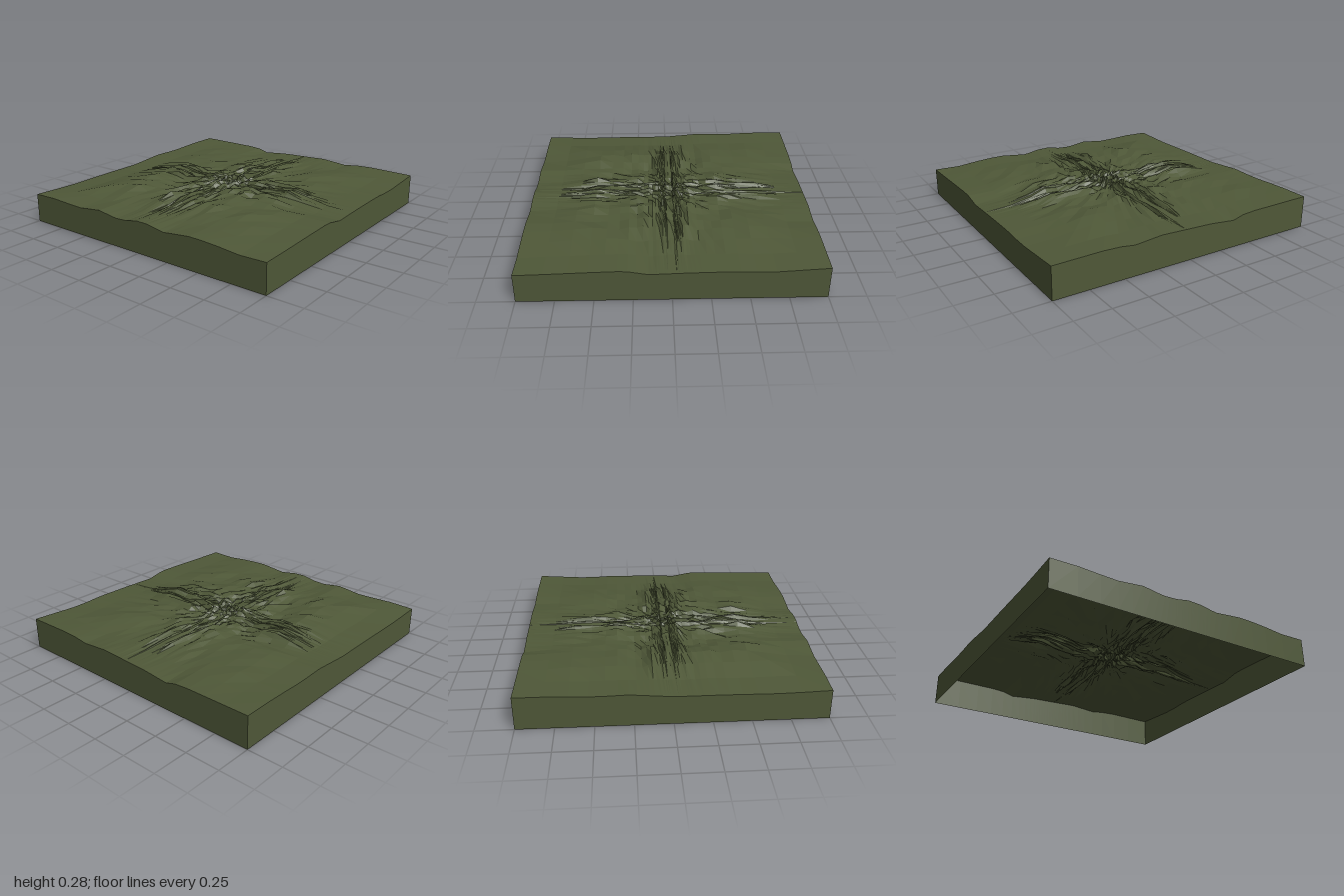
import * as THREE from 'three';

// Grid lines crowd towards the middle in a geometric series
const HALF = Array.from({ length: 19 }, (_, k) => Math.pow(0.81, k));
const LINES = [...HALF.map((v) => -v), 0, ...HALF.slice().reverse()];
const N = LINES.length - 1;

// Piecewise linear profile through [position, height] points
function profile(points) {
  return (t) => {
    let i = 1;
    while (i < points.length - 1 && t > points[i][0]) i++;
    const [a, ha] = points[i - 1], [b, hb] = points[i];
    return ha + (hb - ha) * THREE.MathUtils.clamp((t - a) / (b - a), 0, 1);
  };
}

// Heights along the four rims
const frontRim = profile([[-1, 0.205], [-0.8, 0.21], [-0.55, 0.198], [-0.35, 0.222], [-0.2, 0.2],
  [-0.1, 0.205], [0, 0.225], [0.1, 0.222], [0.22, 0.2], [0.45, 0.225], [0.62, 0.218], [0.8, 0.2], [1, 0.205]]);
const backRim = profile([[-1, 0.23], [-0.45, 0.225], [-0.36, 0.195], [-0.16, 0.215], [0.03, 0.222],
  [0.23, 0.23], [0.43, 0.212], [0.58, 0.232], [1, 0.225]]);
const rightRim = profile([[-1, 0.225], [-0.6, 0.2], [-0.4, 0.21], [-0.1, 0.205], [0.15, 0.197],
  [0.3, 0.225], [0.5, 0.22], [0.8, 0.21], [1, 0.205]]);
const leftRim = profile([[-1, 0.23], [-0.75, 0.23], [-0.5, 0.218], [-0.28, 0.224], [0, 0.2],
  [0.3, 0.2], [0.7, 0.195], [1, 0.205]]);

// Highest ground across the width and across the depth
const crestX = profile([[-1, 0.23], [-0.9, 0.22], [-0.75, 0.235], [-0.65, 0.27], [-0.53, 0.275], [-0.43, 0.275],
  [-0.3, 0.243], [-0.13, 0.28], [0.25, 0.285], [0.35, 0.267], [0.53, 0.28], [0.67, 0.25], [0.8, 0.24], [1, 0.23]]);
const crestZ = profile([[-1, 0.23], [-0.65, 0.262], [-0.5, 0.257], [-0.35, 0.265], [-0.22, 0.255], [-0.15, 0.28],
  [0.1, 0.285], [0.2, 0.275], [0.4, 0.262], [0.53, 0.28], [0.75, 0.245], [1, 0.23]]);

// Seeded smooth noise, 0 to 1
function hash(i, j) {
  const s = Math.sin(i * 127.1 + j * 311.7 + 7.3) * 43758.5453;
  return s - Math.floor(s);
}
function noise(u, v) {
  const i = Math.floor(u), j = Math.floor(v), { lerp, smoothstep } = THREE.MathUtils;
  const a = smoothstep(u - i, 0, 1), b = smoothstep(v - j, 0, 1);
  return lerp(lerp(hash(i, j), hash(i + 1, j), a), lerp(hash(i, j + 1), hash(i + 1, j + 1), a), b);
}

function groundHeight(ix, iz) {
  const x = LINES[ix], z = LINES[iz];
  const u = (x + 1) / 2, v = (z + 1) / 2;
  const { lerp, smoothstep } = THREE.MathUtils;
  // Blend of the four rims
  const corners = lerp(lerp(backRim(-1), backRim(1), u), lerp(frontRim(-1), frontRim(1), u), v);
  const rim = lerp(leftRim(z), rightRim(z), u) + lerp(backRim(x), frontRim(x), v) - corners;
  // Rugged middle, kept under the crests
  const crest = Math.min(crestX(x), crestZ(z));
  const rough = 0.65 * noise(ix / 2.6, iz / 2.6) + 0.35 * hash(ix + 50, iz + 90);
  const hills = 0.2 + (crest - 0.2) * Math.min(1, 0.1 + 1.05 * rough);
  const inside = 1 - smoothstep(Math.max(Math.abs(x), Math.abs(z)), 0.5, 1);
  return lerp(rim, hills, inside);
}

export function createModel() {
  const group = new THREE.Group();
  group.name = 'terrainTile';
  const green = new THREE.MeshStandardMaterial({ color: 0x4f5838, flatShading: true, side: THREE.DoubleSide });
  green.name = 'mossGreen';

  // Ground surface
  const ground = new THREE.PlaneGeometry(2, 2, N, N).rotateX(-Math.PI / 2);
  for (let iz = 0; iz <= N; iz++) {
    for (let ix = 0; ix <= N; ix++) {
      ground.attributes.position.setXYZ(iz * (N + 1) + ix, LINES[ix], groundHeight(ix, iz), LINES[iz]);
    }
  }
  ground.computeVertexNormals();
  const groundMesh = new THREE.Mesh(ground, green);
  groundMesh.name = 'ground';
  group.add(groundMesh);

  // Side walls follow the rims down to the open base
  const walls = {
    frontWall: (i) => [i, N],
    rightWall: (i) => [N, N - i],
    backWall: (i) => [N - i, 0],
    leftWall: (i) => [0, i],
  };
  for (const [name, at] of Object.entries(walls)) {
    const wall = new THREE.PlaneGeometry(2, 1, N, 1);
    for (let i = 0; i <= N; i++) {
      const [ix, iz] = at(i);
      wall.attributes.position.setXYZ(i, LINES[ix], groundHeight(ix, iz), LINES[iz]);
      wall.attributes.position.setXYZ(N + 1 + i, LINES[ix], 0, LINES[iz]);
    }
    wall.computeVertexNormals();
    const mesh = new THREE.Mesh(wall, green);
    mesh.name = name;
    group.add(mesh);
  }
  return group;
}
